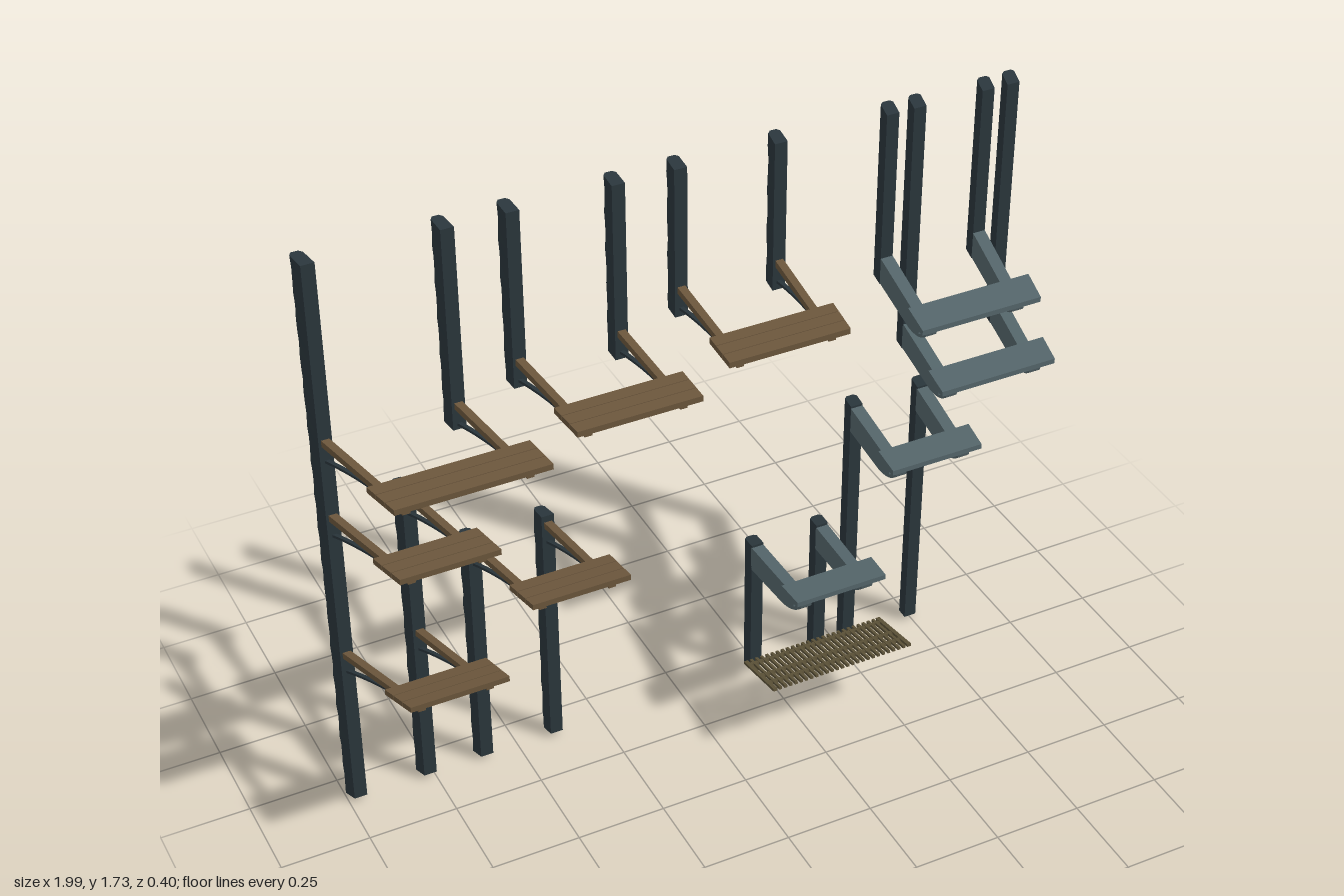
import * as THREE from 'three';

const mat = (color) => new THREE.MeshStandardMaterial({ color, flatShading: true });
const darkTimber = mat(0x2a363c), slate = mat(0x55666b), wood = mat(0x6b563c), ironwork = mat(0x5c5238);

// Everything converges gently toward a distant point in front of the model
const BACK = -0.145, EYE = 1.05, TAPER = 0.25;
function converge(geo) {
  const p = geo.attributes.position;
  for (let i = 0; i < p.count; i++) {
    const s = 1 - TAPER * (p.getZ(i) - BACK);
    p.setXY(i, p.getX(i) * s, EYE + (p.getY(i) - EYE) * s);
  }
  geo.computeVertexNormals();
  return geo;
}

function add(parent, name, geo, material, warp = true) {
  const mesh = new THREE.Mesh(warp ? converge(geo) : geo, material);
  mesh.name = name;
  parent.add(mesh);
}

function box(x0, x1, y0, y1, z0, z1) {
  return new THREE.BoxGeometry(x1 - x0, y1 - y0, z1 - z0)
    .translate((x0 + x1) / 2, (y0 + y1) / 2, (z0 + z1) / 2);
}

// Side profile in (z, y), extruded across x
function sideExtrude(shape, x0, x1, y) {
  return new THREE.ExtrudeGeometry(shape, { depth: x1 - x0, bevelEnabled: false, curveSegments: 8 })
    .rotateY(-Math.PI / 2).translate(x1, y, 0);
}

// Upright with chamfered corners; rough ones have an uneven hewn back
function post(parent, x, y0, y1, rough) {
  const w = 0.018, d = 0.0265, c = 0.008;
  const s = new THREE.Shape([[-w, -d], [w, -d], [w, d - c], [w - c, d], [c - w, d], [-w, d - c]]
    .map(([a, b]) => new THREE.Vector2(a, b)));
  const steps = rough ? Math.ceil((y1 - y0) / 0.035) : 1;
  const g = new THREE.ExtrudeGeometry(s, { depth: y1 - y0, steps, bevelEnabled: false })
    .rotateX(-Math.PI / 2).translate(x, y0, -0.1725);
  if (rough) {
    const p = g.attributes.position;
    for (let i = 0; i < p.count; i++) {
      const n = Math.abs(Math.sin(Math.round(p.getY(i) * 500) * 12.99 + x * 78.2));
      if (p.getZ(i) < -0.175) p.setX(i, x + (p.getX(i) - x) * (1 - 0.16 * n));
    }
  }
  add(parent, 'post', g, darkTimber);
}

// Plank platform on slim arms with curved braces
function woodPlatform(parent, x0, x1, top, posts) {
  const g = new THREE.Group();
  g.name = 'woodPlatform';
  for (let i = 0; i < 3; i++) {
    const z = 0.09 + i * 0.037;
    add(g, 'plank', box(x0, x1, top - 0.018, top, z, z + 0.035), wood);
  }
  const brace = new THREE.Shape();
  brace.moveTo(0.1, -0.034);
  brace.quadraticCurveTo(-0.03, -0.046, -0.15, -0.082);
  brace.lineTo(-0.15, -0.09);
  brace.quadraticCurveTo(-0.03, -0.053, 0.1, -0.041);
  for (const x of posts) {
    add(g, 'arm', box(x - 0.011, x + 0.011, top - 0.037, top - 0.018, -0.15, 0.185), wood);
    add(g, 'brace', sideExtrude(brace, x - 0.006, x + 0.006, top), darkTimber);
  }
  parent.add(g);
}

// Heavy slab on deep arms with curved undersides
function slabPlatform(parent, x0, x1, top, posts) {
  const g = new THREE.Group();
  g.name = 'slabPlatform';
  const slab = new THREE.Shape([[0.2, 0], [0.1, 0], [0.1, -0.03], [0.175, -0.03], [0.175, -0.02], [0.2, -0.016]]
    .map(([a, b]) => new THREE.Vector2(a, b)));
  add(g, 'slab', sideExtrude(slab, x0, x1, top), slate);
  const arm = new THREE.Shape();
  arm.moveTo(-0.15, -0.024);
  arm.lineTo(-0.15, -0.1);
  arm.lineTo(0.06, -0.1);
  arm.quadraticCurveTo(0.13, -0.092, 0.17, -0.05);
  arm.lineTo(0.175, -0.028);
  arm.lineTo(0.1, -0.028);
  for (const x of posts) add(g, 'bracketArm', sideExtrude(arm, x - 0.018, x + 0.018, top), slate);
  parent.add(g);
}

// Sloping rack of narrow bars
function rack(parent) {
  const g = new THREE.Group();
  g.name = 'rack';
  const len = 0.178, n = 27, width = 0.425;
  for (let i = 0; i < n; i++) {
    const x = (i / (n - 1) - 0.5) * (width - 0.008), end = i === 0 || i === n - 1;
    const h = end ? 0.006 : 0.004;
    add(g, 'bar', box(x - h, x + h, -0.004, 0.004, -len / 2, len / 2), ironwork, false);
  }
  for (const z of [-0.07, 0, 0.045]) {
    add(g, 'rail', box(-width / 2, width / 2, -0.005, 0.003, z - 0.005, z + 0.005), ironwork, false);
  }
  g.position.set(0.322, 0.228, 0.115);
  g.rotation.x = -0.2;
  parent.add(g);
}

export function createModel() {
  const model = new THREE.Group();
  model.name = 'wallPlatforms';
  const FLOOR = 0.0142, CEIL = 1.721;

  // Uprights: x, bottom, top, rough
  const uprights = [
    [-0.968, FLOOR, CEIL, 1], [-0.765, FLOOR, 0.995, 1], [-0.597, FLOOR, 0.775, 1], [-0.387, FLOOR, 0.775, 1],
    [-0.615, 1.13, CEIL, 1], [-0.445, 1.205, CEIL, 1], [-0.163, 1.205, CEIL, 1],
    [0.007, 1.285, CEIL, 1], [0.288, 1.285, CEIL, 1],
    [0.237, FLOOR, 0.458, 0], [0.44, FLOOR, 0.458, 0], [0.537, FLOOR, 0.835, 0], [0.745, FLOOR, 0.835, 0],
    [0.61, 1.212, CEIL, 0], [0.893, 1.212, CEIL, 0], [0.69, 0.98, CEIL, 0], [0.968, 0.98, CEIL, 0],
  ];
  for (const u of uprights) post(model, ...u);

  woodPlatform(model, -1.01, -0.557, 1.23, [-0.968, -0.615]);
  woodPlatform(model, -0.485, -0.113, 1.31, [-0.445, -0.163]);
  woodPlatform(model, -0.034, 0.337, 1.393, [0.007, 0.288]);
  woodPlatform(model, -1.01, -0.718, 0.998, [-0.968, -0.765]);
  woodPlatform(model, -0.635, -0.338, 0.773, [-0.597, -0.387]);
  woodPlatform(model, -1.01, -0.715, 0.547, [-0.968, -0.765]);

  slabPlatform(model, 0.193, 0.487, 0.475, [0.237, 0.44]);
  slabPlatform(model, 0.495, 0.79, 0.853, [0.537, 0.745]);
  slabPlatform(model, 0.645, 1.02, 1.083, [0.69, 0.968]);
  slabPlatform(model, 0.568, 0.953, 1.315, [0.61, 0.893]);

  rack(model);
  return model;
}
